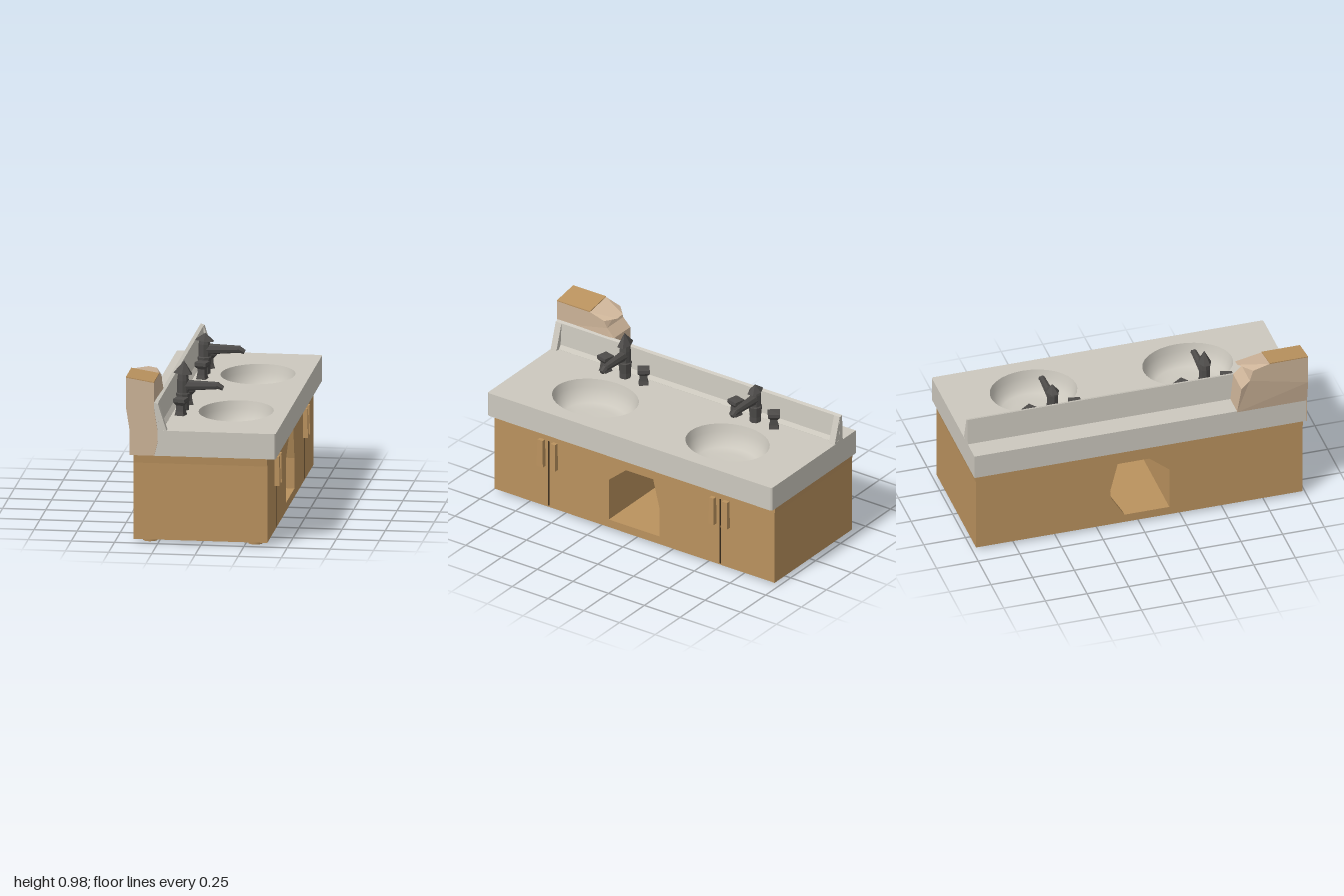
import * as THREE from 'three';

const paint = (name, color) => Object.assign(new THREE.MeshStandardMaterial({ color }), { name });
const stone = paint('stone', 0xccc8be);
const wood = paint('wood', 0xba925e);
const tan = paint('tan', 0xccb398);
const metal = paint('darkMetal', 0x4e4c4a);
const seamColor = paint('seam', 0x3d2f1e);
stone.side = THREE.DoubleSide;

const V = (pts) => pts.map(([a, b]) => new THREE.Vector2(a, b));

function add(parent, name, geo, mat, x = 0, y = 0, z = 0) {
  const m = new THREE.Mesh(geo, mat);
  m.name = name;
  m.position.set(x, y, z);
  parent.add(m);
  return m;
}

// Extrudes a (z, y) outline along x from x0 to x1
function alongX(outline, x0, x1, hole) {
  const flip = (pts) => V(pts.map(([z, y]) => [-z, y]));
  const shape = new THREE.Shape(flip(outline));
  if (hole) shape.holes.push(new THREE.Path(flip(hole)));
  const g = new THREE.ExtrudeGeometry(shape, { depth: x1 - x0, bevelEnabled: false });
  return g.rotateY(Math.PI / 2).translate(x0, 0, 0);
}

// Extrudes an (x, y) outline along z from z0 to z1
function alongZ(outline, z0, z1) {
  const g = new THREE.ExtrudeGeometry(new THREE.Shape(V(outline)), { depth: z1 - z0, bevelEnabled: false });
  return g.translate(0, 0, z0);
}

function flat(geo) {
  const g = geo.index ? geo.toNonIndexed() : geo;
  g.computeVertexNormals();
  return g;
}

// Moves vertices of a geometry by a rule
function warp(geo, rule) {
  const p = geo.attributes.position;
  const v = new THREE.Vector3();
  for (let i = 0; i < p.count; i++) {
    rule(v.fromBufferAttribute(p, i));
    p.setXYZ(i, v.x, v.y, v.z);
  }
  return flat(geo);
}

function cabinet() {
  const g = new THREE.Group();
  g.name = 'cabinet';
  // Body with an open passage; the rear opening has a cut lower corner
  const side = [[0.98, 0.02], [-0.98, 0.02], [-0.98, 0.47], [-0.985, 0.518], [0.985, 0.518], [0.98, 0.47]];
  const opening = [[0.18, 0.07], [0.18, 0.33], [0.06, 0.43], [-0.13, 0.43], [-0.175, 0.25], [-0.175, 0.07]];
  const backOpening = [[0.18, 0.07], [0.18, 0.33], [0.06, 0.43], [-0.13, 0.43], [-0.175, 0.25], [-0.17, 0.2], [-0.09, 0.07]];
  add(g, 'cabinetBody', alongX(side, -0.35, 0.382, opening), wood);
  add(g, 'cabinetBack', alongX(side, -0.392, -0.35, backOpening), wood);
  for (const s of [-1, 1]) {
    // Door gap and its pair of pulls
    add(g, 'doorSeam', new THREE.BoxGeometry(0.004, 0.42, 0.007), seamColor, 0.382, 0.24, s * 0.6);
    for (const [z, w] of [[0.645, 0.045], [0.555, 0.038]]) {
      const pull = warp(new THREE.BoxGeometry(0.03, 0.17, w), (v) => {
        if (v.y > 0) { v.z *= 0.8; if (v.x > 0) v.x -= 0.004; }
      });
      add(g, 'doorPull', pull, wood, 0.396, 0.368, s * z);
    }
    for (const x of [-0.305, 0.305]) {
      add(g, 'foot', new THREE.CylinderGeometry(0.045, 0.042, 0.025, 10), wood, x, 0.0125, s * 0.905);
    }
  }
  return g;
}

function counter() {
  const g = new THREE.Group();
  g.name = 'counter';
  const basins = [[0.13, -0.475, 0.215, 0.255], [0.13, 0.45, 0.215, 0.265]];
  // Slab with a cut-out for each basin
  const top = new THREE.Shape(V([[-0.41, -0.995], [0.425, -0.995], [0.432, -0.985], [0.432, 0.985], [0.425, 0.995], [-0.41, 0.995]]));
  for (const [x, z, rx, rz] of basins) {
    top.holes.push(new THREE.Path().absellipse(x, -z, rx, rz, 0, Math.PI * 2, true));
  }
  const slab = new THREE.ExtrudeGeometry(top, { depth: 0.149, bevelEnabled: false, curveSegments: 16 });
  add(g, 'counterSlab', slab.rotateX(-Math.PI / 2), stone, 0, 0.517, 0);
  // Bowls
  const bowl = V([[0, 0.53], [0.5, 0.532], [0.74, 0.54], [0.88, 0.567], [0.96, 0.62], [1, 0.666]]);
  for (const [x, z, rx, rz] of basins) {
    add(g, 'basin', new THREE.LatheGeometry(bowl, 32), stone, x, 0, z).scale.set(rx, 1, rz);
  }
  // Backsplash: steep wall with a small foot, and a wider wedge at each end
  const wall = [[-0.28, 0.65], [-0.225, 0.65], [-0.225, 0.667], [-0.242, 0.69], [-0.252, 0.824], [-0.272, 0.83]];
  add(g, 'backsplash', alongZ(wall, -0.995, 0.995), stone);
  const wedge = [[-0.26, 0.65], [-0.2, 0.65], [-0.2, 0.667], [-0.25, 0.824], [-0.26, 0.824]];
  for (const z of [-0.994, 0.954]) add(g, 'backsplashEnd', alongZ(wedge, z, z + 0.04), stone);
  return g;
}

// Tapered corner post with a ragged inner edge
function cornerPost() {
  const g = new THREE.Group();
  g.name = 'cornerPost';
  const lean = (v) => {
    const t = THREE.MathUtils.clamp((v.y - 0.66) / 0.14, 0, 1);
    if (v.z < 0.61 && v.y > 0.9) v.x = -0.31 + (v.x + 0.33) * 0.3;
    if (v.y > 0.93) v.y -= (v.x + 0.41) * 0.16;
    v.x -= 0.022 * t;
  };
  const outline = [[1, 0.66], [1, 0.8], [1, 0.973], [0.77, 0.973], [0.6, 0.962], [0.67, 0.945], [0.65, 0.88], [0.6, 0.83], [0.58, 0.66]];
  add(g, 'postBody', warp(alongX(outline, -0.412, -0.25), lean), tan);
  add(g, 'postCap', warp(alongX([[1, 0.972], [1, 0.978], [0.77, 0.978], [0.77, 0.972]], -0.412, -0.25), lean), wood);
  const end = [[-0.412, 0.518], [-0.27, 0.518], [-0.25, 0.6], [-0.252, 0.67], [-0.412, 0.67]];
  add(g, 'postEndFace', alongZ(end, 0.994, 1), tan);
  return g;
}

function faucet(z, capBase, capHeight) {
  const g = new THREE.Group();
  g.name = 'faucet';
  // Column
  const column = V([[0, 0.66], [0.035, 0.66], [0.034, 0.7], [0.039, 0.745], [0.041, 0.763], [0.034, 0.768], [0.034, 0.84], [0.028, capBase + 0.005], [0, capBase + 0.005]]);
  add(g, 'faucetColumn', flat(new THREE.LatheGeometry(column, 8)), metal, -0.177, 0, 0).scale.z = 0.95;
  // Pointed narrow cap, tipped to the front
  const cap = add(g, 'faucetCap', flat(new THREE.ConeGeometry(0.06, capHeight, 6)), metal, -0.174, capBase + capHeight / 2, 0);
  cap.rotation.z = -0.1;
  cap.scale.z = 0.65;
  // Spout narrowing to a drooping tip
  const spout = warp(new THREE.CylinderGeometry(1, 1, 1, 8, 4).rotateZ(-Math.PI / 2), (v) => {
    const t = v.x + 0.5;
    const r = 0.033 - 0.012 * t;
    v.set(-0.17 + 0.2 * t, 0.81 + 0.004 * t + v.y * r, v.z * r * 0.85);
  });
  add(g, 'spout', spout, metal);
  add(g, 'spoutTip', flat(new THREE.CylinderGeometry(0.02, 0.014, 0.045, 6)), metal, 0.036, 0.808, 0).rotation.z = 1.1;
  // Flared taps on either side
  const tap = V([[0, 0.66], [0.042, 0.66], [0.032, 0.69], [0.029, 0.725], [0.05, 0.745], [0.049, 0.765], [0, 0.768]]);
  for (const s of [-1, 1]) {
    add(g, 'tap', flat(new THREE.LatheGeometry(tap, 4)), metal, -0.172, 0, s * 0.133).rotation.y = s * 0.35 + 0.2;
  }
  g.position.z = z;
  return g;
}

export function createModel() {
  const model = new THREE.Group();
  model.name = 'doubleVanity';
  model.add(cabinet(), counter(), cornerPost(), faucet(0.457, 0.88, 0.075), faucet(-0.455, 0.86, 0.045));
  return model;
}
